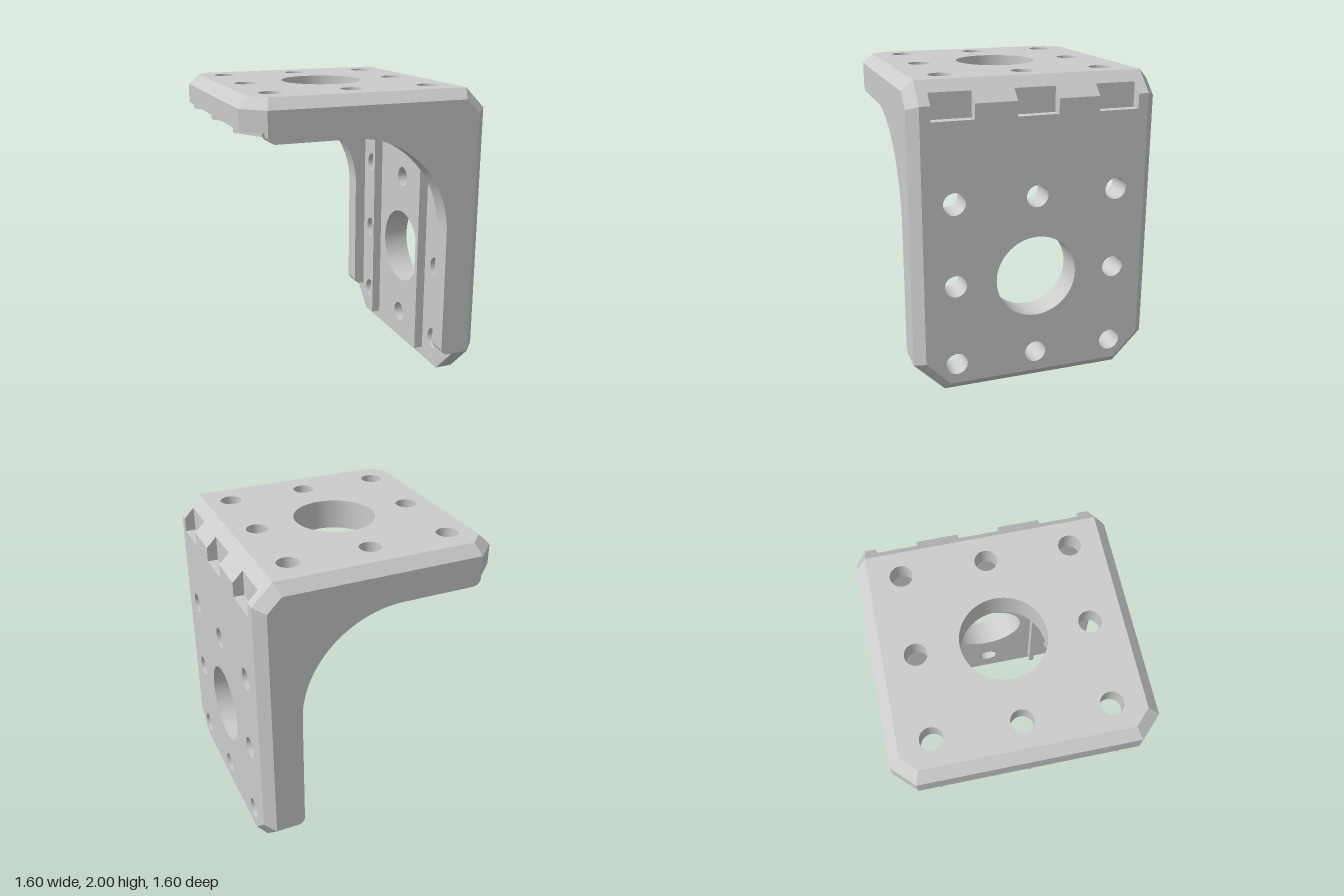
import * as THREE from 'three';
import { toCreasedNormals } from 'three/addons/utils/BufferGeometryUtils.js';

const grey = new THREE.MeshStandardMaterial({ color: 0xcccccc });
const PITCH = 0.533, BEVEL = 0.067;

function addMesh(parent, name, geometry) {
  const mesh = new THREE.Mesh(toCreasedNormals(geometry, 0.5), grey);
  mesh.name = name;
  parent.add(mesh);
  return mesh;
}

// Closed cross-sections (arrays of [x, y, z]) joined into a faceted skin
function loft(sections, capped) {
  const pos = [];
  const tri = (a, b, c) => pos.push(...a, ...b, ...c);
  const n = sections[0].length;
  for (let s = 0; s < sections.length - 1; s++) {
    const A = sections[s], B = sections[s + 1];
    for (let i = 0; i < n; i++) {
      const j = (i + 1) % n;
      tri(A[i], A[j], B[j]);
      tri(A[i], B[j], B[i]);
    }
  }
  if (capped) {
    const A = sections[0], B = sections[sections.length - 1];
    for (let i = 1; i < n - 1; i++) {
      tri(A[0], A[i + 1], A[i]);
      tri(B[0], B[i], B[i + 1]);
    }
  }
  const g = new THREE.BufferGeometry();
  g.setAttribute('position', new THREE.Float32BufferAttribute(pos, 3));
  g.computeVertexNormals();
  return g;
}

const polygon = (pts) => new THREE.Shape(pts.map(([x, y]) => new THREE.Vector2(x, y)));
const circle = (x, y, r) => new THREE.Path().absarc(x, y, r, 0, Math.PI * 2, true);
const hexPoints = (x, y, r) => Array.from({ length: 6 }, (_, i) =>
  [x + r * Math.cos(i * Math.PI / 3), y + r * Math.sin(i * Math.PI / 3)]);

// Flat slab of an outline with holes, from depth z0 to z1
function slab(pts, holes, z0, z1) {
  const shape = polygon(pts);
  shape.holes.push(...holes);
  return new THREE.ExtrudeGeometry(shape, { depth: z1 - z0, bevelEnabled: false, curveSegments: 40 })
    .translate(0, 0, z0);
}

// Eight bolt centres on a square grid around (cx, cy)
function boltCentres(cx, cy) {
  const list = [];
  for (const i of [-1, 0, 1]) for (const j of [-1, 0, 1])
    if (i || j) list.push([cx + i * PITCH, cy + j * PITCH]);
  return list;
}

// Plate built along local z: body, bevelled rim and outer face
function addPlate(parent, outer, inset, cx, cy, z0, z1, pocketTop) {
  const bolts = boltCentres(cx, cy);
  const big = circle(cx, cy, 0.267);
  const holes = [big, ...bolts.map(([x, y]) => circle(x, y, 0.071))];
  const rim = z1 - BEVEL;
  if (pocketTop) {
    const pockets = bolts.map(([x, y]) => new THREE.Path(polygon(hexPoints(x, y, 0.153)).getPoints()));
    addMesh(parent, 'pocketLayer', slab(outer, [big, ...pockets], z0, pocketTop));
  }
  addMesh(parent, 'plateBody', slab(outer, holes, pocketTop || z0, rim));
  addMesh(parent, 'plateFace', slab(inset, holes, rim, z1));
  addMesh(parent, 'plateBevel', loft([
    outer.map(([x, y]) => [x, y, rim]),
    inset.map(([x, y]) => [x, y, z1]),
  ], false));
}

// Side web with a large inner fillet and small rounded ends
function webGeometry() {
  const s = new THREE.Shape();
  s.moveTo(-0.667, 1.9);
  s.lineTo(-0.667, 1.785);
  s.absarc(-0.617, 1.785, 0.05, Math.PI, Math.PI * 1.5, false);
  s.lineTo(-0.132, 1.735);
  s.absarc(-0.132, 1.07, 0.665, Math.PI / 2, 0, true);
  s.lineTo(0.533, 0.25);
  s.absarc(0.583, 0.25, 0.05, Math.PI, Math.PI * 1.5, false);
  s.lineTo(0.7, 0.2);
  s.lineTo(0.7, 1.85);
  s.lineTo(0.65, 1.9);
  return new THREE.ExtrudeGeometry(s, { depth: 0.133, bevelEnabled: false, curveSegments: 32 });
}

export function createModel() {
  const model = new THREE.Group();
  model.name = 'angleBracket';

  // Horizontal plate with nut pockets in its underside
  const top = new THREE.Group();
  top.name = 'topPlate';
  top.rotation.x = -Math.PI / 2;
  model.add(top);
  addPlate(top,
    [[-0.8, -0.667], [-0.667, -0.8], [0.61, -0.8], [0.61, 0.8], [-0.667, 0.8], [-0.8, 0.667]],
    [[-0.733, -0.639], [-0.639, -0.733], [0.61, -0.733], [0.61, 0.733], [-0.639, 0.733], [-0.733, 0.639]],
    -0.033, 0, 1.803, 2, 1.87);

  // Raised hexagonal rims around the nut pockets
  for (const [x, y] of boltCentres(-0.033, 0)) {
    const hole = new THREE.Path(polygon(hexPoints(x, y, 0.153)).getPoints());
    addMesh(top, 'nutBoss', slab(hexPoints(x, y, 0.233), [hole], 1.773, 1.803));
  }

  // Vertical plate
  const side = new THREE.Group();
  side.name = 'sidePlate';
  side.rotation.y = Math.PI / 2;
  model.add(side);
  addPlate(side,
    [[-0.8, 0.2], [-0.6, 0], [0.6, 0], [0.8, 0.2], [0.8, 1.773], [-0.8, 1.773]],
    [[-0.733, 0.228], [-0.572, 0.067], [0.572, 0.067], [0.733, 0.228], [0.733, 1.773], [-0.733, 1.773]],
    0, 0.733, 0.613, 0.8, 0);

  // Chamfered outer corner with three notches, lofted along z
  const at = (pts, z) => pts.map(([x, y]) => [x, y, z]);
  const full = [[0.8, 1.773], [0.8, 1.867], [0.667, 2], [0.6, 2], [0.6, 1.773]];
  const notch = [[0.733, 1.773], [0.733, 1.933], [0.667, 2], [0.6, 2], [0.6, 1.773]];
  const end = [[0.733, 1.773], [0.733, 1.84], [0.64, 1.933], [0.6, 1.933], [0.6, 1.773]];
  const sections = [at(end, -0.8), at(full, -0.733)];
  for (const c of [-PITCH, 0, PITCH]) {
    const a = c - 0.133, b = c + 0.133;
    sections.push(at(full, a), at(notch, a), at(notch, b), at(full, b));
  }
  sections.push(at(full, 0.733), at(end, 0.8));
  addMesh(model, 'notchedCorner', loft(sections, true));

  // Webs and thin inner ribs, mirrored front to back
  for (const s of [-1, 1]) {
    addMesh(model, 'sideWeb', webGeometry()).position.z = s > 0 ? 0.667 : -0.8;
    addMesh(model, 'innerRib', new THREE.BoxGeometry(0.08, 1.74, 0.036))
      .position.set(0.59, 0.937, s * 0.366);
  }
  return model;
}
